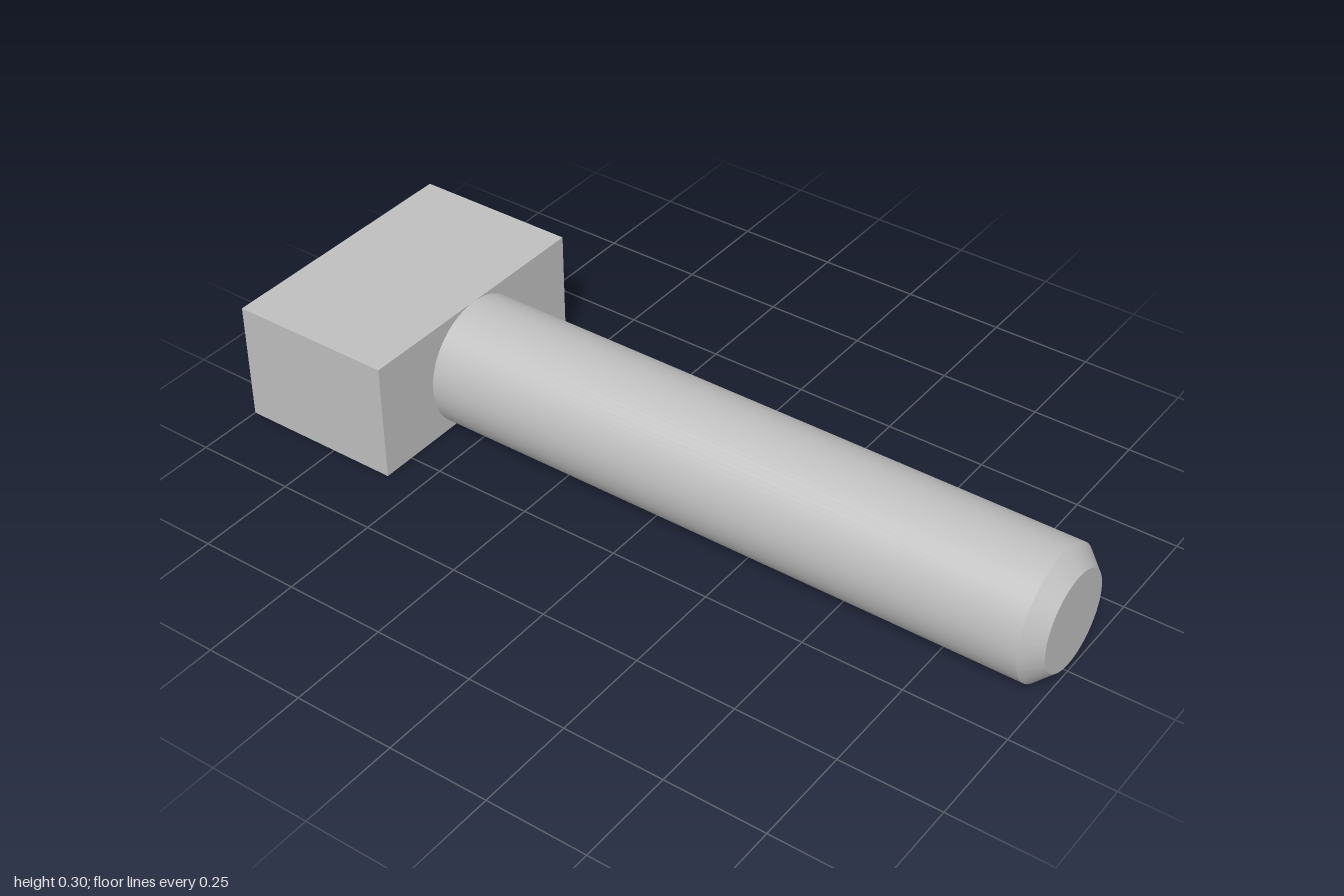
import * as THREE from 'three';
import { toCreasedNormals } from 'three/addons/utils/BufferGeometryUtils.js';

const R = 0.16, AXIS_Y = 0.14, TIP_R = 0.119;
const HEAD_END = -0.585, CHAMFER_START = 0.957;

// Angles round the shaft, measured from straight down; the flat spans -half..half
function ringAngles() {
  const half = Math.acos(AXIS_Y / R), angles = [];
  for (let i = 0; i < 12; i++) angles.push(-half + (2 * half * i) / 12);
  for (let i = 0; i < 72; i++) angles.push(half + ((2 * Math.PI - 2 * half) * i) / 72);
  return angles;
}

// Round shaft with a flat underside, blending to a circular chamfered tip
function shaftGeometry() {
  const angles = ringAngles(), n = angles.length;
  const flatRadius = a => (Math.cos(a) > 0 ? Math.min(R, AXIS_Y / Math.cos(a)) : R);
  const rings = [
    [HEAD_END, flatRadius],
    [CHAMFER_START, flatRadius],
    [1, () => TIP_R],
    [1, () => 0],
  ];
  const positions = [], index = [];
  for (const [x, radius] of rings) {
    for (const a of angles) {
      const r = radius(a);
      positions.push(x, AXIS_Y - r * Math.cos(a), r * Math.sin(a));
    }
  }
  for (let k = 0; k < rings.length - 1; k++) {
    for (let i = 0; i < n; i++) {
      const j = (i + 1) % n;
      const a = k * n + i, b = k * n + j, c = a + n, d = b + n;
      index.push(a, c, b);
      if (k < rings.length - 2) index.push(b, c, d); // the tip closes to a point
    }
  }
  const geometry = new THREE.BufferGeometry();
  geometry.setAttribute('position', new THREE.Float32BufferAttribute(positions, 3));
  geometry.setIndex(index);
  return toCreasedNormals(geometry, 0.3);
}

export function createModel() {
  const group = new THREE.Group();
  group.name = 'tHeadBolt';
  const steel = new THREE.MeshStandardMaterial({ color: 0xbfbfbf });
  steel.name = 'steel grey';

  // Rectangular crosswise head
  const headLength = HEAD_END + 1;
  const head = new THREE.Mesh(new THREE.BoxGeometry(headLength, 0.3, 0.667), steel);
  head.name = 'head';
  head.position.set(-1 + headLength / 2, 0.15, 0);

  const shaft = new THREE.Mesh(shaftGeometry(), steel);
  shaft.name = 'shaft';
  // The winding faces outward: down, then +z, then up around the +x axis
  group.add(head, shaft);
  return group;
}
